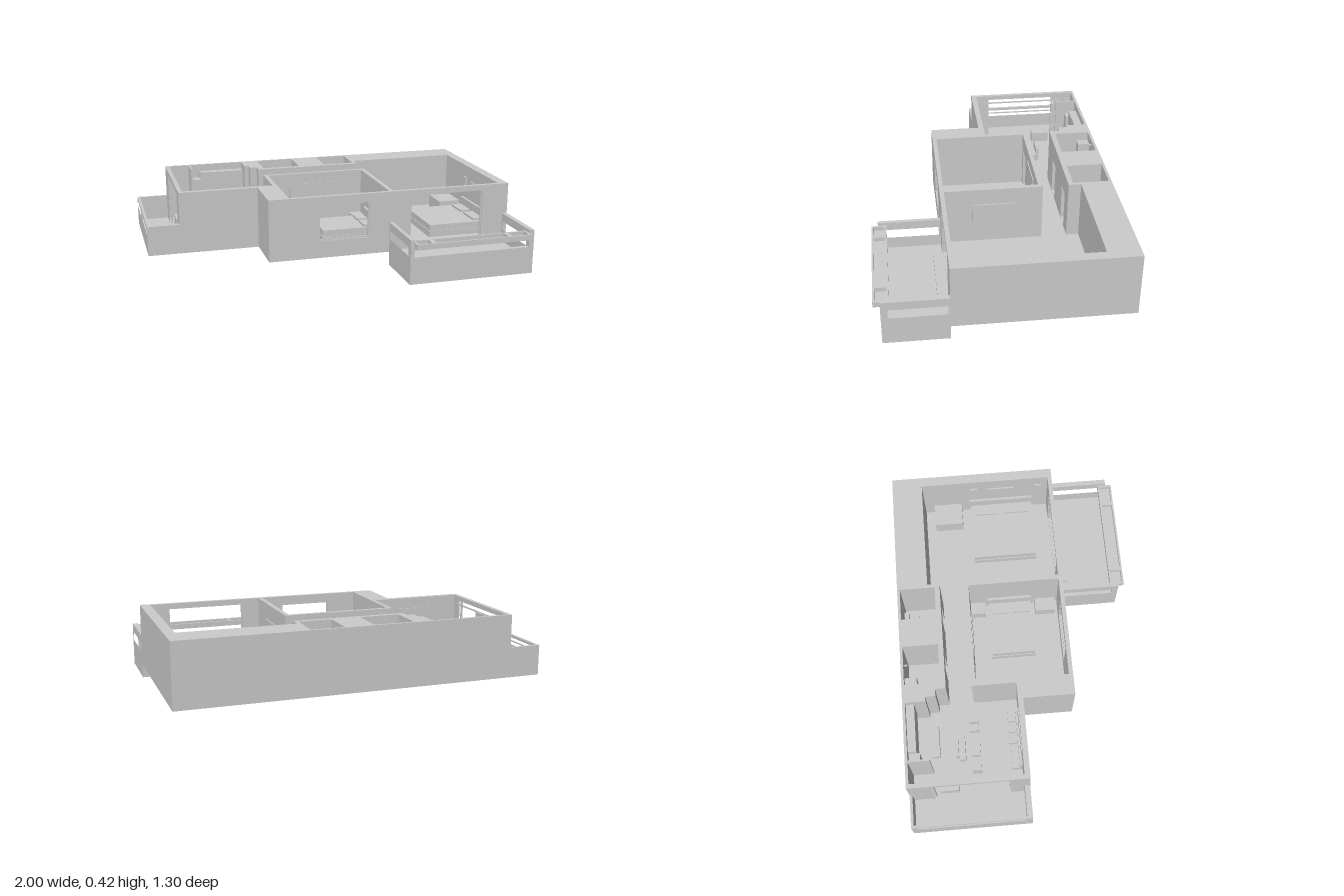
import * as THREE from 'three';

const material = new THREE.MeshStandardMaterial({ color: 0xcccccc, flatShading: true });
const BASE = 0.075, FLOOR = 0.1, TOP = 0.42;

export function createModel() {
  const model = new THREE.Group();
  model.name = 'apartment';

  // Box given by its limits on each axis
  function box(name, x0, x1, y0, y1, z0, z1, parent = model) {
    const mesh = new THREE.Mesh(new THREE.BoxGeometry(x1 - x0, y1 - y0, z1 - z0), material);
    mesh.position.set((x0 + x1) / 2, (y0 + y1) / 2, (z0 + z1) / 2);
    mesh.name = name;
    parent.add(mesh);
    return mesh;
  }

  function group(name) {
    const g = new THREE.Group();
    g.name = name;
    model.add(g);
    return g;
  }

  // Upright wall along x or z from a to b, thickness t0..t1, with openings [a, b, bottom, top]
  function wall(name, axis, a, b, t0, t1, openings = [], y0 = BASE, y1 = TOP) {
    const sign = axis === 'x' ? 1 : -1;
    const rect = (path, p, q, r, s) => {
      path.moveTo(sign * p, r);
      path.lineTo(sign * q, r);
      path.lineTo(sign * q, s);
      path.lineTo(sign * p, s);
      path.closePath();
      return path;
    };
    const shape = rect(new THREE.Shape(), a, b, y0, y1);
    for (const o of openings) shape.holes.push(rect(new THREE.Path(), ...o));
    const geometry = new THREE.ExtrudeGeometry(shape, { depth: t1 - t0, bevelEnabled: false });
    if (axis === 'z') geometry.rotateY(Math.PI / 2);
    const mesh = new THREE.Mesh(geometry, material);
    mesh.position.set(axis === 'x' ? 0 : t0, 0, axis === 'x' ? t0 : 0);
    mesh.name = name;
    model.add(mesh);
  }

  // Floor slabs
  box('mainFloor', -0.385, 1, BASE, FLOOR, -0.65, 0.28);
  box('livingFloor', -1, -0.385, BASE, FLOOR, -0.65, 0);

  // Outer walls
  box('rightWall', 0.945, 1, BASE, TOP, -0.65, 0.28);
  box('bedroomBackWall', 0.32, 0.945, BASE, TOP, -0.65, -0.48);
  box('backWall', -0.82, 0.32, BASE, TOP, -0.65, -0.635);
  box('livingFrontWall', -0.82, -0.295, BASE, TOP, -0.03, 0);
  box('cornerBlock', -0.385, -0.27, BASE, TOP, -0.03, 0.28);
  wall('frontWall', 'x', -0.27, 0.945, 0.257, 0.28,
    [[-0.11, 0.18, 0.17, 0.375], [0.415, 0.845, 0.102, 0.395]]);
  wall('livingLeftWall', 'z', -0.65, 0, -0.823, -0.8, [[-0.52, -0.1, 0.102, 0.395]]);

  // Inner walls
  box('smallBedroomLeftWall', -0.295, -0.27, BASE, TOP, -0.27, -0.03);
  wall('smallBedroomBackWall', 'x', -0.295, 0.32, -0.273, -0.25, [[-0.24, -0.14, 0.102, 0.33]]);
  box('bedroomDivider', 0.295, 0.32, BASE, TOP, -0.25, 0.257);
  wall('corridorWall', 'x', -0.295, 0.32, -0.44, -0.412,
    [[-0.15, -0.06, 0.102, 0.31], [0.14, 0.23, 0.102, 0.31]]);
  box('bathroomLeftWall', -0.295, -0.258, BASE, TOP, -0.635, -0.44);
  box('serviceCore', -0.04, 0.12, BASE, TOP, -0.635, -0.44);
  box('bathroomRightWall', 0.3, 0.32, BASE, TOP, -0.635, -0.44);
  box('steppedPillar', -0.36, -0.295, BASE, TOP, -0.635, -0.525);
  box('steppedPillar', -0.335, -0.295, BASE, TOP, -0.525, -0.47);
  box('livingPartition', -0.685, -0.675, FLOOR, TOP, -0.635, -0.52);

  // Side balcony with a slotted parapet
  wall('sideParapet', 'z', -0.65, 0, -1, -0.985, [[-0.63, -0.035, 0.185, 0.225]], BASE, 0.24);
  for (const z of [-0.65, -0.03])
    box('sideBalconyEnd', -0.985, -0.823, BASE, 0.24, z, z + (z < -0.1 ? 0.015 : 0.03));
  box('sideRail', -0.995, -0.99, 0.2, 0.207, -0.635, -0.03);

  // Front balcony with slots and a planter rail
  box('balconyFloor', 0.295, 1, 0, 0.085, 0.28, 0.615);
  for (const x of [0.295, 0.972])
    wall('balconySide', 'z', 0.28, 0.615, x, x + (x < 0.5 ? 0.022 : 0.028),
      [[0.29, 0.58, 0.15, 0.2]], 0, 0.245);
  box('balconyFront', 0.317, 0.972, 0, 0.15, 0.59, 0.615);
  box('doorStep', 0.415, 0.845, 0.085, 0.105, 0.28, 0.33);
  const planter = group('planter');
  box('planterBase', 0.317, 0.97, 0.2, 0.208, 0.57, 0.65, planter);
  for (const z of [0.57, 0.64])
    box('planterSide', 0.317, 0.97, 0.208, 0.23, z, z + 0.01, planter);
  for (const [a, b] of [[0.317, 0.328], [0.403, 0.428], [0.835, 0.86], [0.957, 0.97]])
    box('planterDivider', a, b, 0.208, 0.23, 0.58, 0.64, planter);

  // Slim frames around the window and the glass doors
  function frameX(name, x0, x1, y0, y1, z) {
    const g = group(name), t = 0.008;
    for (const x of [x0, x1 - t]) box('jamb', x, x + t, y0, y1, z, z + t, g);
    for (const y of [y0, y1 - t]) box('rail', x0 + t, x1 - t, y, y + t, z, z + t, g);
  }
  frameX('windowFrame', -0.11, 0.18, 0.17, 0.375, 0.265);
  frameX('balconyDoorFrame', 0.415, 0.845, 0.105, 0.395, 0.265);
  box('curtainRail', -0.8, -0.795, 0.37, 0.378, -0.63, -0.04);
  for (const z of [-0.52, -0.11]) box('slidingDoorJamb', -0.816, -0.806, FLOOR, 0.395, z, z + 0.01);

  // Bed: base, mattress, pillows and headboard at its right end
  function bed(name, x0, x1, z0, z1) {
    const g = group(name), w = z1 - z0;
    box('bedBase', x0, x1, FLOOR, 0.135, z0, z1, g);
    box('mattress', x0 + 0.005, x1 - 0.01, 0.135, 0.17, z0 + 0.005, z1 - 0.005, g);
    box('headboard', x1 - 0.01, x1 + 0.005, FLOOR, 0.22, z0, z1, g);
    for (const k of [0.08, 0.55])
      box('pillow', x1 - 0.08, x1 - 0.02, 0.17, 0.182, z0 + k * w, z0 + (k + 0.37) * w, g);
  }
  bed('smallBed', -0.04, 0.288, -0.15, 0.105);
  bed('largeBed', 0.578, 0.94, -0.21, 0.165);

  // Bedroom furniture
  box('bedsideCabinet', 0.215, 0.293, FLOOR, 0.16, 0.125, 0.24);
  box('bedsideCabinet', 0.225, 0.293, FLOOR, 0.16, -0.25, -0.165);
  box('dresser', 0.812, 0.945, FLOOR, 0.18, -0.425, -0.26);
  box('wallScreen', 0.32, 0.327, 0.22, 0.33, -0.125, 0.105);
  box('wallPicture', -0.07, 0.15, 0.25, 0.36, -0.25, -0.245);
  for (const z of [-0.2, 0.18]) box('wallLamp', 0.935, 0.945, 0.27, 0.35, z, z + 0.04);
  box('wallShelf', 0.937, 0.945, 0.27, 0.34, -0.1, 0.06);

  // Living room furniture
  box('tallCabinet', -0.675, -0.62, FLOOR, 0.34, -0.635, -0.575);
  box('screenPanel', -0.62, -0.36, 0.2, 0.38, -0.635, -0.59);
  box('sideBoard', -0.8, -0.76, FLOOR, 0.16, -0.49, -0.385);
  box('lowTable', -0.6, -0.43, FLOOR, 0.14, -0.53, -0.48);
  const sofa = group('sofa');
  box('sofaSeat', -0.7, -0.385, FLOOR, 0.14, -0.085, -0.03, sofa);
  box('sofaBack', -0.7, -0.385, 0.14, 0.19, -0.045, -0.03, sofa);
  for (const x of [-0.565, -0.503, -0.44]) box('cushion', x, x + 0.055, 0.14, 0.17, -0.09, -0.046, sofa);
  box('livingPicture', -0.66, -0.42, 0.26, 0.36, -0.035, -0.03);
  const seats = group('seatingGroup');
  box('bench', -0.63, -0.5, FLOOR, 0.145, -0.375, -0.338, seats);
  box('benchBack', -0.615, -0.515, FLOOR, 0.18, -0.39, -0.375, seats);
  box('coffeeTable', -0.61, -0.525, FLOOR, 0.14, -0.305, -0.255, seats);
  for (const [x0, x1, b] of [[-0.705, -0.655, -0.705], [-0.47, -0.42, -0.43]]) {
    box('chairSeat', x0, x1, FLOOR, 0.14, -0.305, -0.255, seats);
    box('chairBack', b, b + 0.01, 0.14, 0.185, -0.305, -0.255, seats);
  }

  // Bathroom fittings
  box('showerCabinet', -0.258, -0.205, FLOOR, 0.37, -0.635, -0.57);
  box('showerArm', -0.145, -0.138, 0.395, 0.403, -0.635, -0.615);
  const toilet = group('toilet');
  box('cistern', 0.175, 0.25, FLOOR, 0.2, -0.635, -0.61, toilet);
  box('pedestal', 0.195, 0.23, FLOOR, 0.14, -0.61, -0.57, toilet);
  box('bowl', 0.185, 0.24, 0.14, 0.16, -0.61, -0.555, toilet);

  return model;
}
